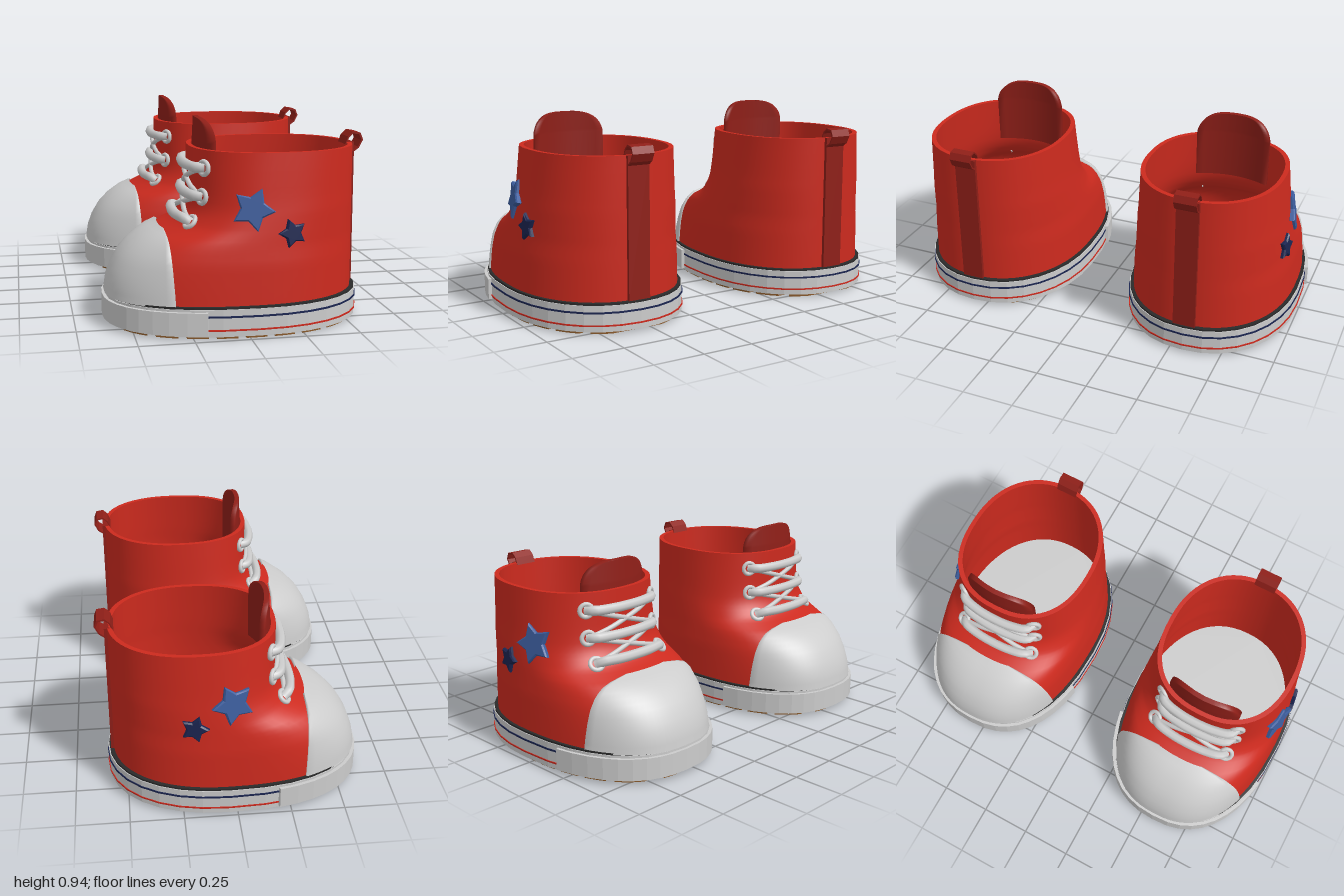
import * as THREE from 'three';

const { PI, abs, sign, cos, sin, pow } = Math;
const mat = (color, side = THREE.FrontSide) => new THREE.MeshStandardMaterial({ color, side });
const RED = mat(0xcc2a1e), DARK_RED = mat(0x8f1f18), WHITE = mat(0xcccccc), BLACK = mat(0x2a2a2a);
const NAVY = mat(0x1b2550), BLUE = mat(0x3b5c9c), BROWN = mat(0x8a5a2b), DARK_BROWN = mat(0x6a4420);
const NF = 2.4, NB = 2.2; // roundness of the toe half and the heel half

// Piecewise-linear lookup in [y, value] pairs
function lookup(table, y) {
  let i = 0;
  while (i < table.length - 2 && y > table[i + 1][0]) i++;
  const [a, b] = [table[i], table[i + 1]];
  return THREE.MathUtils.lerp(a[1], b[1], THREE.MathUtils.clamp((y - a[0]) / (b[0] - a[0]), 0, 1));
}
const FRONT = [[0.14, -0.6], [0.2, -0.59], [0.26, -0.567], [0.32, -0.53], [0.37, -0.48], [0.41, -0.42],
  [0.44, -0.345], [0.465, -0.29], [0.49, -0.26], [0.53, -0.23], [0.58, -0.215], [0.66, -0.21], [0.81, -0.21]];
const WIDTH = [[0.14, 0.405], [0.32, 0.396], [0.45, 0.38], [0.6, 0.36], [0.81, 0.342]];
const CENTRE = [[0.14, 0.04], [0.4, 0.06], [0.55, 0.13], [0.81, 0.17]];

// Horizontal section of the upper at a height, and the sole outline
const upperAt = (y, off = 0) => ({
  f: lookup(FRONT, y) - off, b: 0.563 + off, c: lookup(CENTRE, y), w: lookup(WIDTH, y) + off });
const soleAt = (off = 0) => ({ f: -0.605 - off, b: 0.588 + off, c: 0.04, w: 0.425 + off });

function point(p, t) {
  const n = cos(t) < 0 ? NF : NB, r = cos(t) < 0 ? p.c - p.f : p.b - p.c;
  return [p.c + r * sign(cos(t)) * pow(abs(cos(t)), 2 / n), p.w * sign(sin(t)) * pow(abs(sin(t)), 2 / n)];
}
const ring = (p, n, t0 = 0, t1 = 2 * PI, closed = true) =>
  Array.from({ length: closed ? n : n + 1 }, (_, i) => point(p, t0 + (t1 - t0) * i / n));
// Parameter where the toe half crosses a given x
const crossing = (p, x) => Math.acos(-pow(THREE.MathUtils.clamp((p.c - x) / (p.c - p.f), 0, 1), NF / 2));
function halfWidth(p, x) {
  const n = x < p.c ? NF : NB, u = x < p.c ? (p.c - x) / (p.c - p.f) : (x - p.c) / (p.b - p.c);
  return p.w * pow(Math.max(0, 1 - pow(u, n)), 1 / n);
}
const frontX = (y, z) => {
  const p = upperAt(y);
  return p.c - (p.c - p.f) * pow(1 - pow(abs(z) / p.w, NF), 1 / NF);
};
// Outward direction of the upper at a point
function normalAt(x, y, z) {
  const f = (x, y, z) => {
    const p = upperAt(y), n = x < p.c ? NF : NB;
    return pow(abs(x - p.c) / (x < p.c ? p.c - p.f : p.b - p.c), n) + pow(abs(z) / p.w, n);
  };
  const e = 0.02;
  return new THREE.Vector3(f(x + e, y, z) - f(x - e, y, z), f(x, y + e, z) - f(x, y - e, z),
    f(x, y, z + e) - f(x, y, z - e)).normalize();
}

// Skin over rings of [x, y, z] points
function loft(rings, closed = true) {
  const n = rings[0].length, idx = [];
  for (let i = 0; i < rings.length - 1; i++)
    for (let j = 0; j < (closed ? n : n - 1); j++) {
      const k = (j + 1) % n, a = i * n + j, b = i * n + k;
      idx.push(a, a + n, b, b, a + n, b + n);
    }
  const g = new THREE.BufferGeometry();
  g.setAttribute('position', new THREE.Float32BufferAttribute(rings.flat(2), 3));
  g.setIndex(idx);
  g.computeVertexNormals();
  return g;
}
// Flat plate from an [x, z] outline between two heights
function slab(pts, y0, y1) {
  const shape = new THREE.Shape(pts.map(([x, z]) => new THREE.Vector2(x, -z)));
  return new THREE.ExtrudeGeometry(shape, { depth: y1 - y0, bevelEnabled: false }).rotateX(-PI / 2).translate(0, y0, 0);
}

function addSole(add) {
  const solid = (off, y0, y1) => slab(ring(soleAt(off), 32), y0, y1);
  add('sole', solid(0, 0.014, 0.137), WHITE);
  add('solePiping', solid(-0.004, 0.135, 0.146), BLACK);
  add('navyStripe', solid(0.004, 0.1, 0.108), NAVY);
  add('redStripe', solid(0.004, 0.04, 0.047), RED);
  add('outsole', solid(-0.015, 0.01, 0.015), DARK_BROWN);
  // Toe bumper wrapped round the front
  const p = soleAt(), t = crossing(p, -0.19);
  const arc = off => ring(soleAt(off), 18, t, 2 * PI - t, false);
  add('toeBumper', slab([...arc(0.014), ...arc(-0.01).reverse()], 0.022, 0.126), WHITE);
  // Tread bars cut to the outline
  const q = soleAt(-0.02);
  for (let i = 0; i < 10; i++) {
    const c = -0.62 + 0.13 * i, x0 = Math.max(c - 0.047, q.f + 0.002), x1 = Math.min(c + 0.047, q.b - 0.02);
    const side = [0, 1, 2, 3].map(k => x0 + (x1 - x0) * k / 3).map(x => [x, halfWidth(q, x)]);
    add('treadBar', slab([...side, ...side.map(([x, z]) => [x, -z]).reverse()], 0, 0.011), BROWN);
  }
}

function addUpper(add) {
  const level = (y, off = 0) => ring(upperAt(y, off), 64).map(([x, z]) => [x, y, z]);
  const ys = [0.14, 0.17, 0.2, 0.23, 0.26, 0.29, 0.32, 0.345, 0.37, 0.39, 0.41, 0.425, 0.44, 0.452, 0.465,
    0.477, 0.49, 0.51, 0.53, 0.555, 0.58, 0.62, 0.66, 0.73, 0.81];
  add('upper', loft(ys.map(y => level(y))), RED);
  add('rim', loft([level(0.81), level(0.81, -0.022)]), RED);
  add('lining', loft(ys.map(y => level(y, -0.022)).reverse()), RED);
  add('insole', slab(ring(upperAt(0.15, -0.015), 48), 0.14, 0.152), WHITE);
  // Toe cap: a slightly raised skin over the front, its edge turned in
  const cap = ys.filter(y => y <= 0.44).map(y => {
    const p = upperAt(y, 0.009), edge = -0.325 - 0.06 * (y - 0.14), t = crossing(p, edge);
    const lift = y + 0.008 * (y - 0.14) / 0.3;
    const row = ring(p, 28, t, 2 * PI - t, false).map(([x, z]) => [x, lift, z]);
    const tuck = ([x, , z]) => [x + 0.004, y, z * 0.96];
    return [tuck(row[0]), ...row, tuck(row[28])];
  });
  add('toeCap', loft(cap, false), mat(0xcccccc, THREE.DoubleSide));
}

function addTongue(add) {
  // Curved flap with a rounded top, behind the laces
  const rows = [];
  for (let i = 0; i <= 14; i++) {
    const a = i / 14 * PI / 2, y = i === 0 ? 0.6 : 0.82 + 0.12 * sin(a);
    const w = i === 0 ? 0.185 : 0.187 * pow(Math.max(cos(a), 0), 0.6), row = [];
    for (const side of [0, 1])
      for (let j = 0; j <= 12; j++) {
        const z = w * (j / 6 - 1) * (side ? 1 : -1);
        row.push([-0.186 + side * 0.024 + 1.4 * z * z + 0.05 * Math.max(0, y - 0.82), y, z]);
      }
    rows.push(row);
  }
  add('tongue', loft(rows), mat(0x8f1f18, THREE.DoubleSide));
}

function addPullTab(add) {
  add('heelStrip', new THREE.BoxGeometry(0.03, 0.67, 0.11).translate(0.56, 0.475, 0), DARK_RED);
  // Folded loop of webbing
  const loop = [[0.555, 0.75], [0.6, 0.782], [0.619, 0.82], [0.606, 0.853], [0.57, 0.859], [0.545, 0.836], [0.532, 0.8]];
  const c = [0.572, 0.81], inner = loop.map(([x, y]) => [c[0] + (x - c[0]) * 0.82, c[1] + (y - c[1]) * 0.82]);
  const shape = new THREE.Shape([...loop, ...inner.reverse()].map(q => new THREE.Vector2(...q)));
  add('pullLoop', new THREE.ExtrudeGeometry(shape, { depth: 0.11, bevelEnabled: false }).translate(0, 0, -0.055), DARK_RED);
}

function addLaces(add) {
  const rows = [0.485, 0.6, 0.73], Z = 0.2;
  const on = (y, z, lift) => {
    const x = frontX(y, z);
    return new THREE.Vector3(x, y, z).addScaledVector(normalAt(x, y, z), lift);
  };
  const tube = (pts, r) => new THREE.TubeGeometry(new THREE.CatmullRomCurve3(pts), 24, r, 8);
  rows.forEach((y, i) => {
    for (const s of [-1, 1]) {
      const eyelet = add('eyelet', new THREE.TorusGeometry(0.03, 0.011, 8, 18), WHITE);
      eyelet.position.copy(on(y, s * Z, 0.006));
      eyelet.lookAt(on(y, s * Z, 1));
      // Diagonal run up to the next row
      if (i < 2) {
        const y2 = rows[i + 1], path = [-1, -0.5, 0, 0.5, 1].map(k =>
          on(y + (y2 - y) * (k + 1) / 2, s * Z * k, 0.008));
        add('crossLace', tube(path, 0.012), WHITE);
      }
    }
    // Plump bar across the front
    const bar = [-1, -0.85, -0.45, 0, 0.45, 0.85, 1].map(k => on(y, Z * k, abs(k) === 1 ? -0.005 : 0.022));
    add('laceBar', tube(bar, 0.024), WHITE);
  });
}

function addStars(add, s) {
  for (const [x, y, r, turn, m] of [[0.02, 0.565, 0.096, -0.09, BLUE], [0.193, 0.457, 0.062, PI / 5, NAVY]]) {
    const pts = Array.from({ length: 10 }, (_, i) => {
      const a = turn + i * PI / 5, R = i % 2 ? r * 0.55 : r;
      return new THREE.Vector2(s * R * cos(a), R * sin(a));
    });
    const star = add('starPatch', new THREE.ExtrudeGeometry(new THREE.Shape(pts),
      { depth: 0.016, bevelThickness: 0.007, bevelSize: 0.007, bevelOffset: -0.004, bevelSegments: 1 }), m);
    const z = s * halfWidth(upperAt(y), x), n = normalAt(x, y, z);
    star.position.set(x, y, z).addScaledVector(n, -0.006);
    star.lookAt(star.position.clone().add(n));
  }
}

function shoe(s) {
  const group = new THREE.Group();
  const add = (name, geometry, material) => {
    const m = new THREE.Mesh(geometry, material);
    m.name = name;
    group.add(m);
    return m;
  };
  addSole(add);
  addUpper(add);
  addTongue(add);
  addPullTab(add);
  addLaces(add);
  addStars(add, s);
  group.position.z = s * 0.569;
  return group;
}

export function createModel() {
  const model = new THREE.Group();
  model.name = 'pairOfShoes';
  for (const s of [1, -1]) {
    const g = shoe(s);
    g.name = s > 0 ? 'nearShoe' : 'farShoe';
    model.add(g);
  }
  return model;
}
